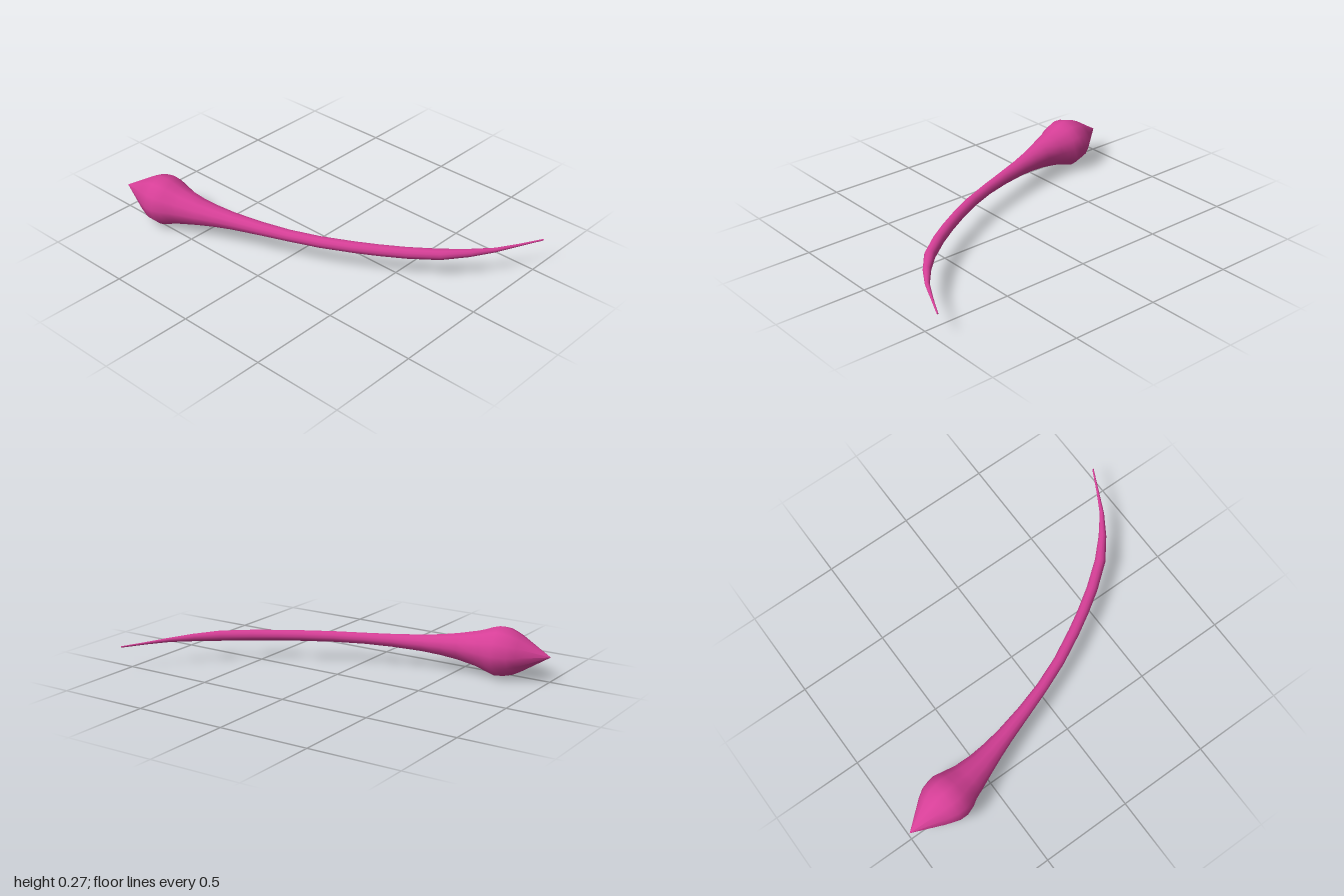
import * as THREE from 'three';

// Stations along the body, from the pointed head to the tail end: x, z, radius
const STATIONS = [
  [-0.5, -1, 0], [-0.474, -0.84, 0.1], [-0.466, -0.8, 0.12], [-0.464, -0.76, 0.132],
  [-0.461, -0.72, 0.135], [-0.455, -0.68, 0.124], [-0.447, -0.64, 0.108], [-0.442, -0.6, 0.096],
  [-0.42, -0.5, 0.073], [-0.396, -0.41, 0.058], [-0.368, -0.31, 0.046], [-0.32, -0.15, 0.036],
  [-0.27, 0, 0.031], [-0.205, 0.16, 0.03], [-0.122, 0.32, 0.03], [-0.058, 0.43, 0.03],
  [0.02, 0.55, 0.03], [0.125, 0.685, 0.029], [0.235, 0.785, 0.021], [0.345, 0.865, 0.012],
  [0.46, 0.925, 0.007], [0.59, 0.99, 0.004], [0.591, 0.991, 0],
];
const SIDES = 12;
const HEIGHT = 0.137;

// Rings square to the path, joined into one smooth skin
function taperedBody() {
  const points = STATIONS.map(([x, z]) => new THREE.Vector3(x, HEIGHT, z));
  const up = new THREE.Vector3(0, 1, 0);
  const positions = [];
  const index = [];
  STATIONS.forEach(([, , radius], i) => {
    const before = points[Math.max(i - 1, 0)];
    const after = points[Math.min(i + 1, points.length - 1)];
    const side = up.clone().cross(after.clone().sub(before)).normalize();
    for (let j = 0; j < SIDES; j++) {
      const angle = (j / SIDES) * Math.PI * 2;
      const p = points[i].clone()
        .addScaledVector(side, radius * Math.cos(angle))
        .addScaledVector(up, radius * Math.sin(angle));
      positions.push(p.x, p.y, p.z);
      if (i === points.length - 1) continue;
      const a = i * SIDES + j;
      const b = i * SIDES + ((j + 1) % SIDES);
      index.push(a, b, b + SIDES, a, b + SIDES, a + SIDES);
    }
  });
  const geometry = new THREE.BufferGeometry();
  geometry.setAttribute('position', new THREE.Float32BufferAttribute(positions, 3));
  geometry.setIndex(index);
  geometry.computeVertexNormals();
  return geometry;
}

export function createModel() {
  const group = new THREE.Group();
  group.name = 'curvedTadpole';
  const body = new THREE.Mesh(taperedBody(), new THREE.MeshStandardMaterial({ color: 0xd63f97 }));
  body.name = 'headAndTail';
  group.add(body);
  return group;
}
